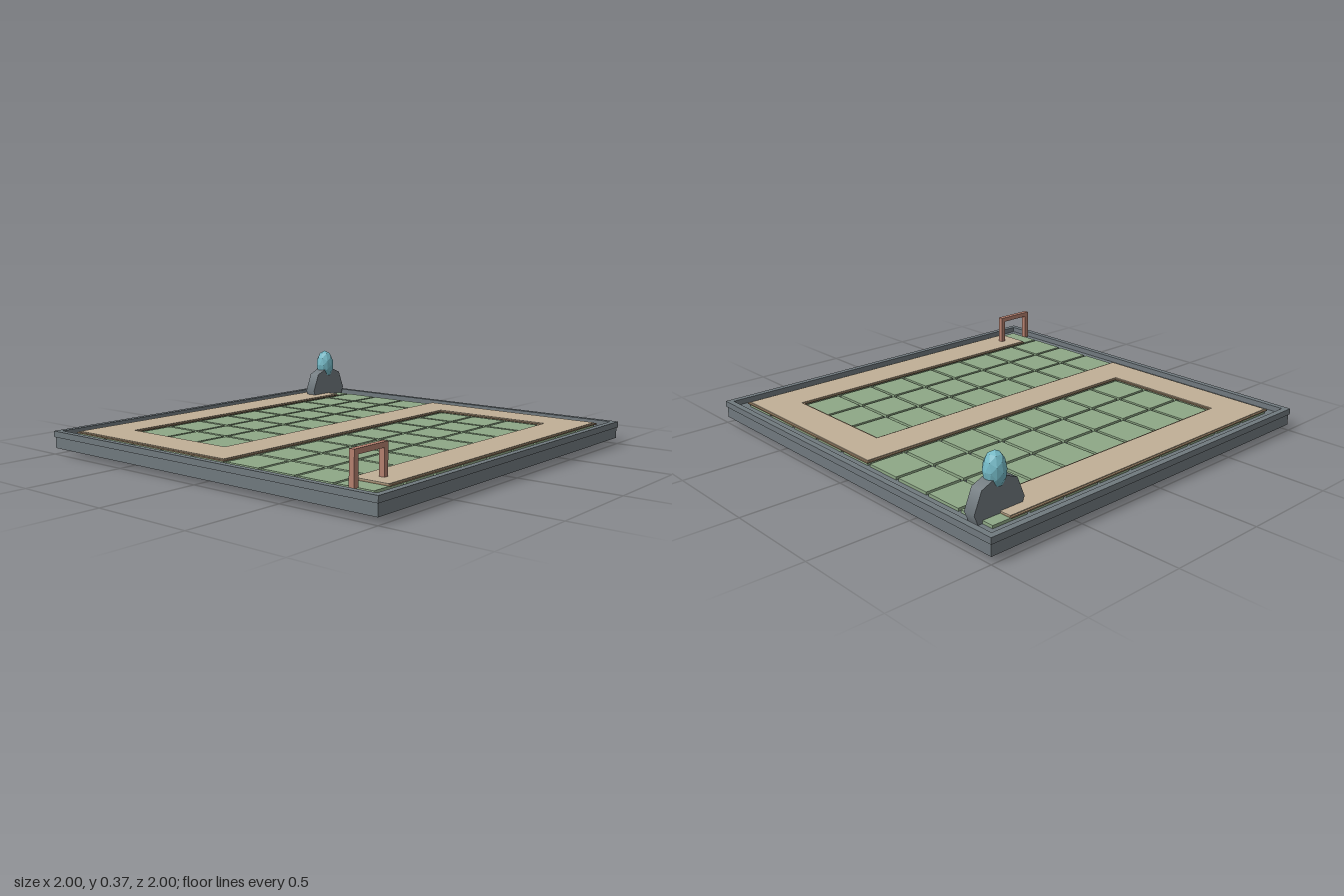
import * as THREE from 'three';

const material = (name, color) => {
  const m = new THREE.MeshStandardMaterial({ color });
  m.name = name;
  return m;
};

export function createModel() {
  const model = new THREE.Group();
  model.name = 'boardWithPath';

  const stone = material('slate grey', 0x70797e);
  const grass = material('sage green', 0x8ea886);
  const sand = material('sand', 0xc0af96);
  const earth = material('earth brown', 0x9a8266);
  const clay = material('clay red', 0xb5806f);
  const glass = material('pale teal', 0x74b9c6);

  const add = (parent, name, geometry, mat, x, y, z) => {
    const mesh = new THREE.Mesh(geometry, mat);
    mesh.name = name;
    mesh.position.set(x, y, z);
    parent.add(mesh);
    return mesh;
  };
  // Box given by its centre in x and z and its bottom and top heights
  const box = (parent, name, mat, x, z, w, d, y0, y1) =>
    add(parent, name, new THREE.BoxGeometry(w, y1 - y0, d), mat, x, (y0 + y1) / 2, z);
  const group = (name) => {
    const g = new THREE.Group();
    g.name = name;
    model.add(g);
    return g;
  };

  // Base slab and raised rim
  box(model, 'base', stone, 0, 0, 1.99, 1.99, 0.03, 0.088);
  const rim = group('rim');
  for (const s of [-1, 1]) {
    box(rim, 'rimLong', stone, 0, s * 0.985, 2, 0.03, 0.085, 0.115);
    box(rim, 'rimSide', stone, s * 0.985, 0, 0.03, 1.94, 0.085, 0.115);
  }

  // Nine by nine grass tiles
  const cell = 0.2045;
  const far = 4 * cell;
  const tiles = group('tiles');
  for (let i = -4; i <= 4; i++) {
    for (let j = -4; j <= 4; j++) {
      box(tiles, 'tile', grass, i * cell, j * cell, 0.188, 0.188, 0.086, 0.102);
    }
  }

  // Winding path: a wider brown kerb below a sand surface
  const route = [[-far, far], [far, far], [far, 0], [-far, 0], [-far, -far], [far, -far]];
  const layers = [
    ['kerb', earth, 0.102, 0.102, 0.108],
    ['pathSurface', sand, 0.092, 0.107, 0.112],
  ];
  for (const [name, mat, half, y0, y1] of layers) {
    // Outline of the folded strip, square cut at both ends
    const h = half;
    const outline = [
      [-far, far + h], [far + h, far + h], [far + h, -h], [-far + h, -h],
      [-far + h, -far + h], [far, -far + h], [far, -far - h], [-far - h, -far - h],
      [-far - h, h], [far - h, h], [far - h, far - h], [-far, far - h],
    ];
    const shape = new THREE.Shape(outline.map(([x, z]) => new THREE.Vector2(x, -z)));
    const strip = new THREE.ExtrudeGeometry(shape, { depth: y1 - y0, bevelEnabled: false });
    strip.rotateX(-Math.PI / 2);
    add(model, name, strip, mat, 0, y0, 0);
  }

  // Entry arch at the start of the path
  const arch = group('entryArch');
  const [startX, startZ] = route[0];
  const archX = startX - 0.008;
  for (const s of [-1, 1]) {
    box(arch, 'archPost', clay, archX + s * 0.0945, startZ, 0.025, 0.027, 0.1, 0.232);
  }
  box(arch, 'archBeam', clay, archX, startZ, 0.214, 0.027, 0.232, 0.256);

  // Octagonal stone disc with a faceted crystal at the end of the path
  const [endX, endZ] = route[route.length - 1];
  const shrine = group('shrine');
  const disc = new THREE.CylinderGeometry(0.135, 0.135, 0.06, 8);
  disc.rotateX(Math.PI / 2);
  add(shrine, 'stoneDisc', disc, stone, endX + 0.002, 0.135, endZ - 0.005);
  const gem = new THREE.IcosahedronGeometry(1, 1);
  gem.scale(0.051, 0.084, 0.051);
  gem.computeVertexNormals();
  add(shrine, 'crystal', gem, glass, endX + 0.002, 0.282, endZ - 0.005);

  return model;
}
